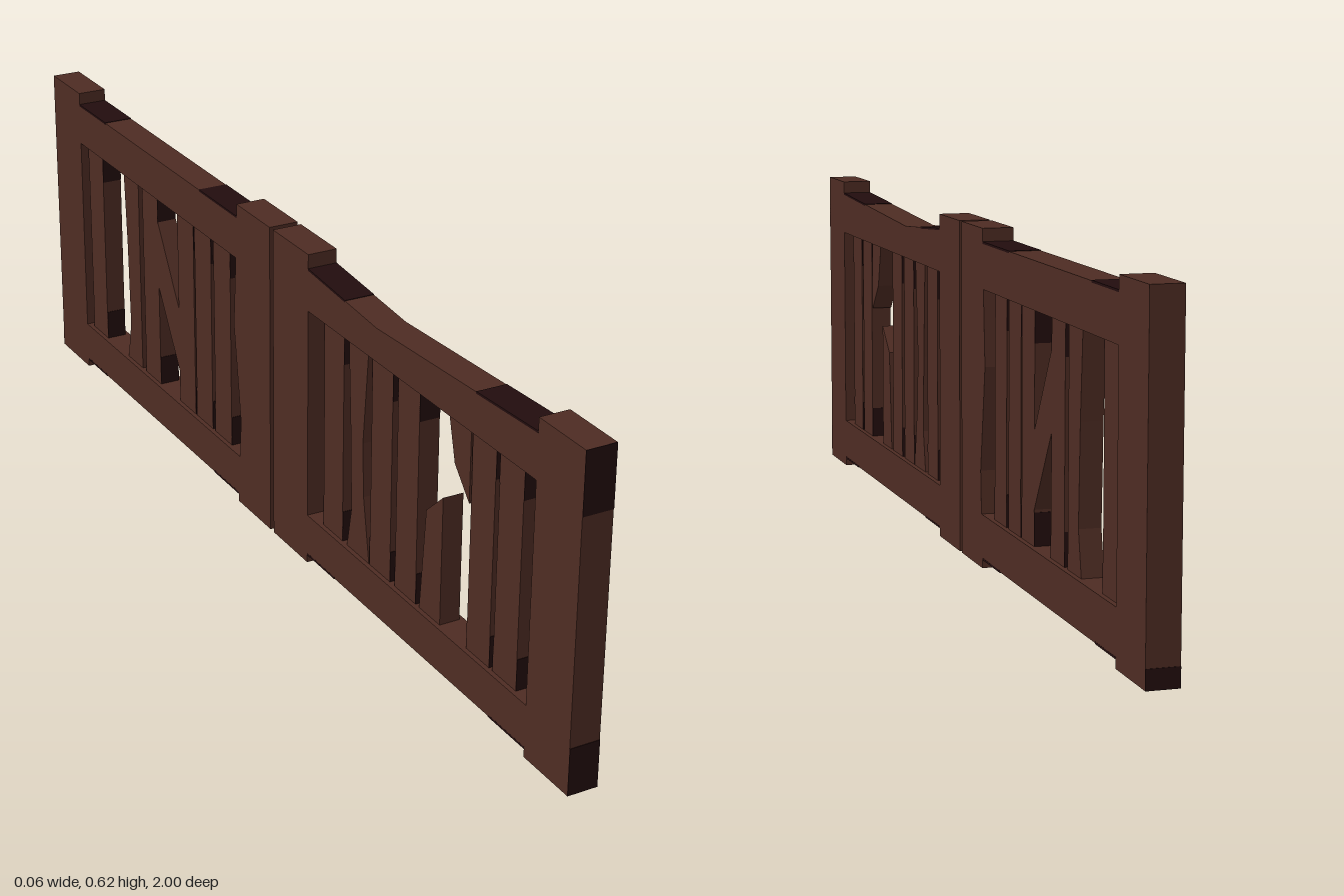
import * as THREE from 'three';

const wood = new THREE.MeshStandardMaterial({ color: 0x4e2c23 });
wood.name = 'brown wood';
const grime = new THREE.MeshStandardMaterial({ color: 0x220d0e });
grime.name = 'dark wood';

const FRAME = 0.058, SLAT = 0.04;   // thicknesses
const LOW = 0.1, HIGH = 0.515;      // inner edges of the rails

// Outline in (u along the gate, height), extruded evenly about the middle
function plank(name, points, depth, material = wood, hole) {
  const v = (list) => list.map(([u, y]) => new THREE.Vector2(u, y));
  const shape = new THREE.Shape(v(points));
  if (hole) shape.holes.push(new THREE.Path(v(hole)));
  const geometry = new THREE.ExtrudeGeometry(shape, { depth, bevelEnabled: false });
  geometry.translate(0, 0, -depth / 2);
  const mesh = new THREE.Mesh(geometry, material);
  mesh.name = name;
  return mesh;
}

const rect = (u0, u1, y0, y1) => [[u0, y0], [u1, y0], [u1, y1], [u0, y1]];

export function createModel() {
  const gate = new THREE.Group();
  gate.name = 'gate';
  const left = new THREE.Group();
  left.name = 'frontLeaf';
  const right = new THREE.Group();
  right.name = 'backLeaf';
  gate.add(left, right);

  // Frames: two posts and two rails around an opening
  const outline = (a, b, c, d, topRail) => [
    [a, 0], [b, 0], [b, 0.017], [c, 0.017], [c, 0], [d, 0],
    [d, 0.625], [c, 0.625], ...topRail, [b, 0.625], [a, 0.625]];
  left.add(plank('frontFrame',
    outline(-1, -0.871, -0.126, 0.008, [[-0.126, 0.597], [-0.37, 0.578], [-0.871, 0.6]]),
    FRAME, wood, rect(-0.871, -0.126, LOW, HIGH)));
  right.add(plank('backFrame',
    outline(0.021, 0.153, 0.868, 1, [[0.868, 0.6], [0.153, 0.6]]),
    FRAME, wood,
    [[0.147, LOW], [0.868, LOW], [0.868, HIGH], [0.158, HIGH], [0.168, 0.375], [0.142, 0.18]]));

  // Straight slats, with darkened ends on their narrow sides
  function straightSlat(leaf, u0, u1) {
    leaf.add(plank('slat', rect(u0, u1, LOW, HIGH), SLAT));
    for (const u of [u0 - 0.001, u1 - 0.001]) {
      leaf.add(plank('slatEndStain', rect(u, u + 0.002, LOW, LOW + 0.06), SLAT, grime));
      leaf.add(plank('slatEndStain', rect(u, u + 0.002, HIGH - 0.06, HIGH), SLAT, grime));
    }
  }
  for (const u of [-0.826, -0.743, -0.503, -0.414, -0.243]) straightSlat(left, u, u + 0.071);
  for (const u of [0.2, 0.282, 0.358, 0.519, 0.78]) straightSlat(right, u, u + 0.07);

  // Broken slat, in two pieces
  left.add(plank('brokenSlatTop',
    [[-0.666, 0.375], [-0.618, 0.428], [-0.596, HIGH], [-0.666, HIGH]], SLAT));
  left.add(plank('brokenSlatBottom',
    [[-0.585, LOW], [-0.516, LOW], [-0.532, 0.3], [-0.585, 0.348]], SLAT));

  // Bent slats
  left.add(plank('bentSlat',
    [[-0.34, LOW], [-0.26, LOW], [-0.275, 0.18], [-0.27, 0.33], [-0.26, HIGH],
      [-0.329, HIGH], [-0.313, 0.33], [-0.318, 0.225]], SLAT));
  right.add(plank('bentSlat',
    [[0.607, LOW], [0.676, LOW], [0.66, 0.18], [0.666, 0.36], [0.676, HIGH], [0.607, HIGH]], SLAT));

  // Slanted slat
  right.add(plank('slantedSlat',
    [[0.425, 0.16], [0.519, 0.315], [0.519, 0.46], [0.425, 0.3]], SLAT));

  // Dark stains along the top rails, beside the posts
  const T = 0.003;
  const stain = (leaf, u0, y0, u1, y1) => leaf.add(plank('railStain',
    [[u0, y0 - T], [u1, y1 - T], [u1, y1 + 0.001], [u0, y0 + 0.001]], FRAME + 0.0004, grime));
  stain(left, -0.871, 0.6, -0.69, 0.592);
  stain(left, -0.26, 0.5866, -0.126, 0.597);
  stain(right, 0.153, 0.6, 0.31, 0.6);
  stain(right, 0.74, 0.6, 0.868, 0.6);

  // Dark stains under the rails, beside the posts
  for (const [leaf, u0, u1] of [[left, -0.871, -0.76], [left, -0.23, -0.126],
    [right, 0.153, 0.26], [right, 0.77, 0.868]]) stain(leaf, u0, 0.0185, u1, 0.0185);

  // Dark stains on the outer ends of the gate
  left.add(plank('postEndStainTop', rect(-1.001, -0.999, 0.51, 0.625), FRAME, grime));
  left.add(plank('postEndStainBottom', rect(-1.001, -0.999, 0, 0.09), FRAME, grime));
  right.add(plank('postEndStainBottom', rect(0.999, 1.001, 0, 0.035), FRAME, grime));

  // Turn the outlines so that the gate runs along z
  gate.rotation.y = Math.PI / 2;
  const model = new THREE.Group();
  model.name = 'woodenGate';
  model.add(gate);
  return model;
}
